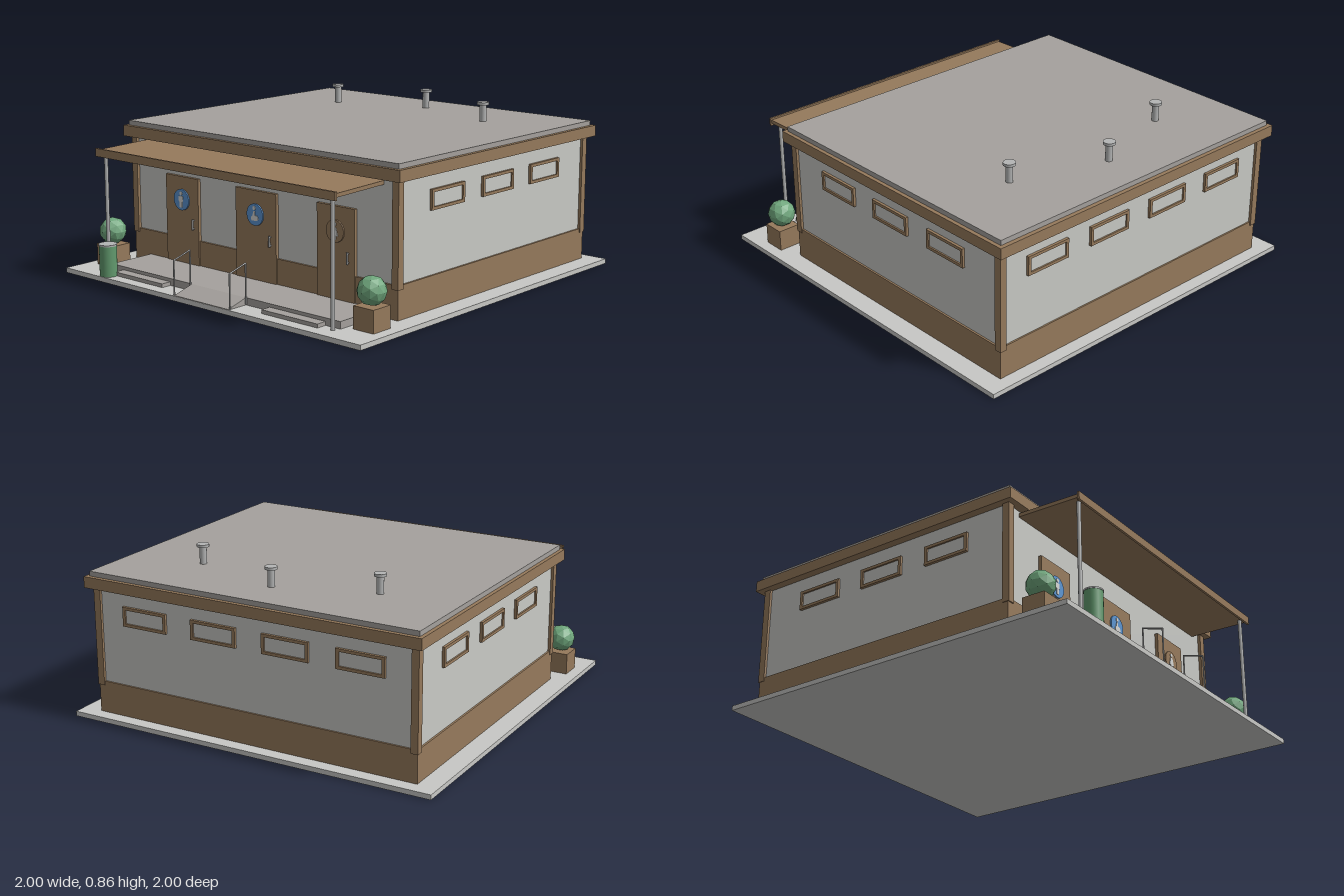
import * as THREE from 'three';

const material = (name, color, side = THREE.FrontSide) => {
  const m = new THREE.MeshStandardMaterial({ color, side });
  m.name = name;
  return m;
};

export function createModel() {
  const root = new THREE.Group();
  root.name = 'restroomBuilding';
  const brown = material('brown wood', 0x967a5c);
  const wall = material('pale wall', 0xc9cac6);
  const concrete = material('concrete', 0xc8c8c5);
  const roofGrey = material('roof grey', 0xa5a19d);
  const metal = material('metal', 0xb4b5b5);
  const leaf = material('leaf green', 0x6fa67c);
  leaf.flatShading = true;
  const binGreen = material('bin green', 0x629a6e);
  const blue = material('sign blue', 0x5c95d2);
  const white = material('sign figure', 0xd6d7d5);

  const add = (name, geo, mat, x = 0, y = 0, z = 0, parent = root) => {
    const mesh = new THREE.Mesh(geo, mat);
    mesh.name = name;
    mesh.position.set(x, y, z);
    parent.add(mesh);
    return mesh;
  };
  // box given by its extents on each axis
  const box = (name, mat, x0, x1, y0, y1, z0, z1, parent = root) =>
    add(name, new THREE.BoxGeometry(x1 - x0, y1 - y0, z1 - z0), mat,
      (x0 + x1) / 2, (y0 + y1) / 2, (z0 + z1) / 2, parent);
  const cyl = (name, mat, r, y0, y1, x, z, seg = 20, parent = root) =>
    add(name, new THREE.CylinderGeometry(r, r, y1 - y0, seg), mat, x, (y0 + y1) / 2, z, parent);
  // round bar between two points
  const bar = (name, mat, a, b, r) => {
    const from = new THREE.Vector3(...a), to = new THREE.Vector3(...b);
    const dir = to.clone().sub(from);
    const m = add(name, new THREE.CylinderGeometry(r, r, dir.length(), 8), mat);
    m.position.copy(from).add(to).multiplyScalar(0.5);
    m.quaternion.setFromUnitVectors(new THREE.Vector3(0, 1, 0), dir.normalize());
  };

  // ground slab, walls and roof
  box('groundSlab', concrete, -1, 1, 0, 0.025, -1, 1);
  box('walls', wall, -0.885, 0.885, 0.025, 0.69, -0.922, 0.602);
  box('wainscot', brown, -0.895, 0.895, 0.025, 0.19, -0.93, 0.612);
  for (const x of [-0.88, 0.88])
    for (const z of [-0.917, 0.599])
      box('cornerPost', brown, x - 0.019, x + 0.019, 0.17, 0.69, z - 0.019, z + 0.019);
  box('roofFascia', brown, -0.928, 0.928, 0.68, 0.737, -0.972, 0.648);
  box('roofDeck', roofGrey, -0.908, 0.908, 0.737, 0.762, -0.95, 0.628);

  // roof vents
  for (const [x, z] of [[-0.5, -0.563], [0, -0.722], [0.5, -0.563]]) {
    cyl('ventPipe', metal, 0.018, 0.755, 0.85, x, z);
    cyl('ventCap', metal, 0.031, 0.849, 0.863, x, z);
  }

  // framed high windows
  const frameShape = new THREE.Shape();
  const rect = (path, w, h) => path.moveTo(-w, -h).lineTo(w, -h).lineTo(w, h).lineTo(-w, h).closePath();
  rect(frameShape, 0.127, 0.05);
  const hole = new THREE.Path();
  rect(hole, 0.111, 0.035);
  frameShape.holes.push(hole);
  const frameGeo = new THREE.ExtrudeGeometry(frameShape, { depth: 0.014, bevelEnabled: false });
  const addWindow = (x, z, turn) => {
    const g = new THREE.Group();
    g.name = 'window';
    g.position.set(x, 0.553, z);
    g.rotation.y = turn;
    add('windowFrame', frameGeo, brown, 0, 0, 0, g);
    add('windowPane', new THREE.BoxGeometry(0.224, 0.072, 0.008), wall, 0, 0, 0.002, g);
    root.add(g);
  };
  for (const z of [0.245, -0.155, -0.555]) {
    addWindow(0.885, z, Math.PI / 2);
    addWindow(-0.885, z, -Math.PI / 2);
  }
  for (const x of [-0.6, -0.2, 0.2, 0.6]) addWindow(x, -0.922, Math.PI);

  // pictogram figures on the door signs
  const plate = (pts) => new THREE.ExtrudeGeometry(
    new THREE.Shape(pts.map(([x, y]) => new THREE.Vector2(x, y))), { depth: 0.004, bevelEnabled: false });
  const figures = {
    man: [[-0.009, -0.04], [0.009, -0.04], [0.01, -0.01], [0.015, -0.01], [0.015, 0.019], [-0.015, 0.019], [-0.015, -0.01], [-0.01, -0.01]],
    seated: [[-0.02, -0.03], [0.012, -0.03], [0.027, -0.022], [0.02, -0.004], [0.002, -0.002], [0.004, 0.018], [-0.008, 0.018], [-0.011, -0.004], [-0.022, -0.012]],
    woman: [[-0.008, -0.04], [0.008, -0.04], [0.008, -0.022], [0.021, -0.022], [0.009, 0.019], [-0.009, 0.019], [-0.021, -0.022], [-0.008, -0.022]],
  };
  // doors with handles and signs
  const doors = [
    [-0.523, 0.118, 'man', blue, -0.438],
    [0, 0.137, 'seated', blue, 0.102],
    [0.521, 0.118, 'woman', brown, 0.603],
  ];
  for (const [x, half, kind, signMat, hx] of doors) {
    box('door', brown, x - half, x + half, 0.06, 0.512, 0.6, 0.619);
    const disc = cyl('signDisc', signMat, 0.055, -0.004, 0.004, x, 0.622, 32);
    disc.rotation.x = Math.PI / 2;
    disc.position.y = 0.392;
    add('signFigure', plate(figures[kind]), white, x, 0.392, 0.625);
    const head = cyl('signHead', white, 0.01, -0.002, 0.002, x - (kind === 'seated' ? 0.002 : 0), 0.627, 16);
    head.rotation.x = Math.PI / 2;
    head.position.y = 0.425;
    bar('doorHandle', metal, [hx, 0.245, 0.631], [hx, 0.302, 0.631], 0.005);
    for (const y of [0.252, 0.295]) bar('handleMount', metal, [hx, y, 0.615], [hx, y, 0.631], 0.003);
  }

  // porch floor, steps and entrance ramp
  box('porchFloor', roofGrey, -0.78, 0.78, 0.025, 0.061, 0.6, 0.88);
  for (const s of [-1, 1])
    box('step', roofGrey, s * 0.515 - 0.175, s * 0.515 + 0.175, 0.025, 0.044, 0.88, 0.935);
  const wedge = new THREE.Shape();
  wedge.moveTo(-0.88, 0.025).lineTo(-0.88, 0.061).lineTo(-0.998, 0.028).lineTo(-0.998, 0.025).closePath();
  const rampGeo = new THREE.ExtrudeGeometry(wedge, { depth: 0.37, bevelEnabled: false });
  rampGeo.rotateY(Math.PI / 2);
  add('ramp', rampGeo, roofGrey, -0.185, 0, 0);
  for (const x of [-0.19, 0.19]) {
    bar('railPost', metal, [x, 0.03, 0.885], [x, 0.232, 0.885], 0.004);
    bar('railPost', metal, [x, 0.025, 0.992], [x, 0.2, 0.992], 0.004);
    bar('handrail', metal, [x, 0.2, 0.994], [x, 0.232, 0.883], 0.004);
  }

  // porch canopy on slim posts
  const canopy = box('canopy', brown, -0.8, 0.8, 0.645, 0.664, 0.6, 0.938);
  canopy.rotation.x = 0.025;
  box('canopyFascia', brown, -0.805, 0.805, 0.628, 0.669, 0.932, 0.944);
  for (const x of [-0.762, 0.762]) cyl('canopyPost', metal, 0.01, 0.025, 0.65, x, 0.912, 12);

  // planters with clipped bushes
  for (const x of [-0.88, 0.88]) {
    box('planter', brown, x - 0.06, x + 0.06, 0.025, 0.135, 0.72, 0.84);
    add('bush', new THREE.IcosahedronGeometry(0.071, 1), leaf, x, 0.203, 0.78);
  }

  // litter bin
  cyl('bin', binGreen, 0.045, 0.025, 0.182, -0.72, 0.953, 24);
  cyl('binLid', metal, 0.047, 0.182, 0.19, -0.72, 0.953, 24);
  return root;
}
